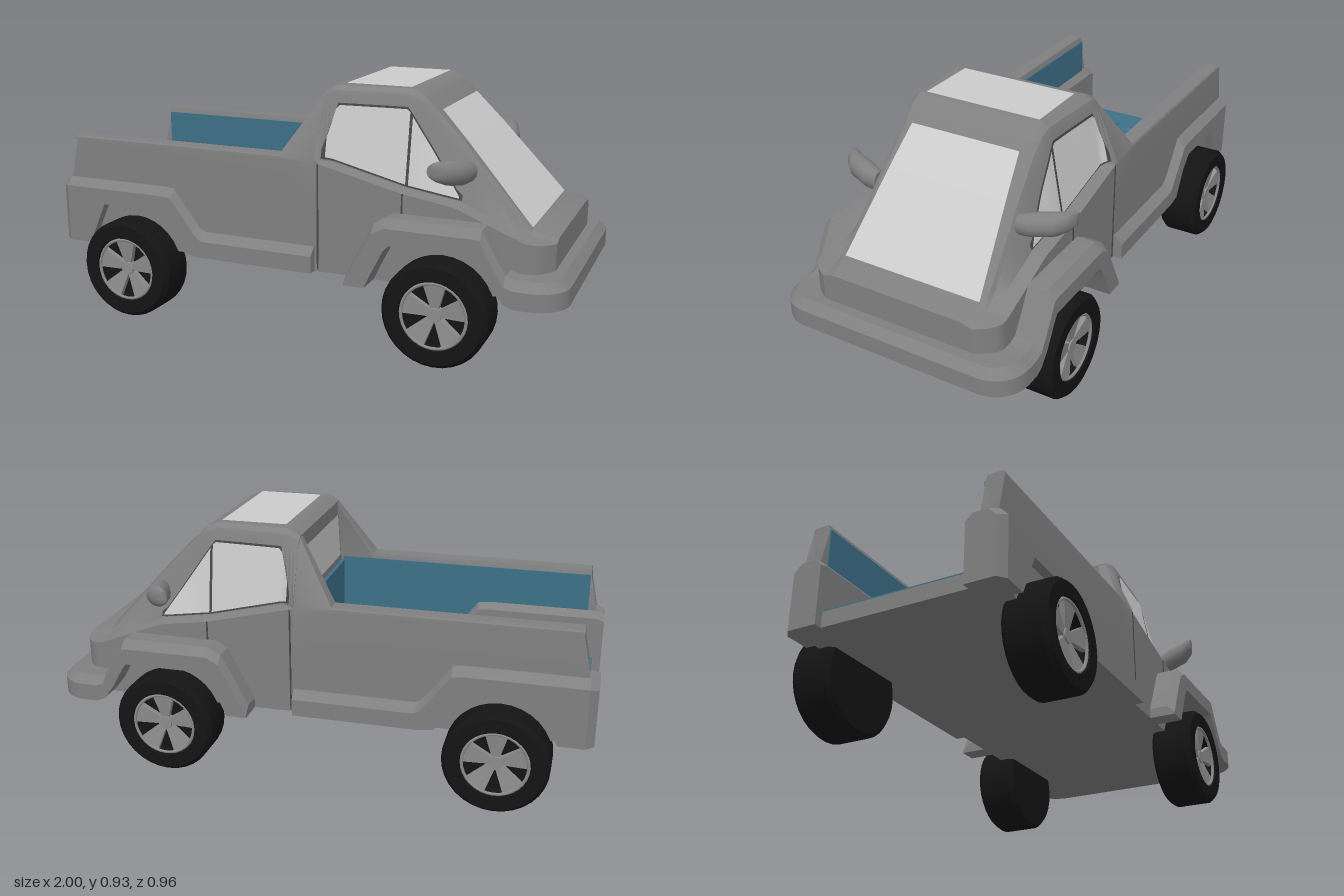
import * as THREE from 'three';
import { toCreasedNormals } from 'three/addons/utils/BufferGeometryUtils.js';

const mat = (color, side = THREE.FrontSide) => new THREE.MeshStandardMaterial({ color, side });
const BODY = mat(0x808080), GLASS = mat(0xcccccc, THREE.DoubleSide), BLUE = mat(0x3d7088);
const TYRE = mat(0x141414), RIM = mat(0x8c8c8c), SEAM = mat(0x484848, THREE.DoubleSide);
const BASE = 0.257, FLOOR = 0.32; // underside and bed floor heights

// piecewise linear curve through [x, y] knots
function pl(x, k) {
  if (x <= k[0][0]) return k[0][1];
  for (let i = 1; i < k.length; i++) {
    if (x <= k[i][0]) return THREE.MathUtils.mapLinear(x, k[i - 1][0], k[i][0], k[i - 1][1], k[i][1]);
  }
  return k[k.length - 1][1];
}

function add(parent, name, geo, material, x = 0, y = 0, z = 0) {
  const m = new THREE.Mesh(geo, material);
  m.name = name;
  m.position.set(x, y, z);
  parent.add(m);
  return m;
}

function box(parent, name, material, x0, x1, y0, y1, z0, z1) {
  return add(parent, name, new THREE.BoxGeometry(x1 - x0, y1 - y0, Math.abs(z1 - z0)), material,
    (x0 + x1) / 2, (y0 + y1) / 2, (z0 + z1) / 2);
}

// solid skin through closed rings of points, capped, always facing outwards
function loft(rings, crease = 0.5) {
  const n = rings[0].length, pos = rings.flat(), idx = [];
  for (let i = 0; i < rings.length - 1; i++) {
    for (let j = 0; j < n; j++) {
      const a = i * n + j, b = i * n + (j + 1) % n;
      idx.push([a, b, a + n], [b, b + n, a + n]);
    }
  }
  [0, rings.length - 1].forEach((r, end) => {
    const c = [0, 1, 2].map((k) => rings[r].reduce((s, p) => s + p[k] / n, 0));
    pos.push(c);
    for (let j = 0; j < n; j++) {
      const a = r * n + j, b = r * n + (j + 1) % n;
      idx.push(end ? [a, b, pos.length - 1] : [b, a, pos.length - 1]);
    }
  });
  const v = pos.map((p) => new THREE.Vector3(...p));
  const volume = idx.reduce((s, [a, b, c]) => s + v[a].dot(v[b].clone().cross(v[c])), 0);
  if (volume < 0) idx.forEach((t) => t.reverse());
  const g = new THREE.BufferGeometry().setFromPoints(v);
  g.setIndex(idx.flat());
  return toCreasedNormals(g, crease);
}

// open sheet from fn(u, v) -> [x, y, z]
function sheet(fn, nu = 20, nv = 8) {
  const g = new THREE.PlaneGeometry(1, 1, nu, nv), p = g.attributes.position;
  for (let i = 0; i < p.count; i++) p.setXYZ(i, ...fn(p.getX(i) + 0.5, p.getY(i) + 0.5));
  g.computeVertexNormals();
  return g;
}

// cab shape along x: top line, belt line, widths at belt, above the belt ledge and at top edge
const top = (x) => pl(x, [[0.08, 0.9], [0.12, 0.925], [0.4, 0.925], [0.445, 0.905], [0.6, 0.745], [0.845, 0.476], [0.935, 0.457]]);
const belt = (x) => pl(x, [[0.08, 0.66], [0.41, 0.58], [0.6, 0.55], [0.84, 0.455], [0.935, 0.445]]);
const ledge = (x) => belt(x) + Math.min(0.012, (top(x) - belt(x)) * 0.25);
const wide = (x) => 0.375 - 0.075 * Math.max(0, (x - 0.86) / 0.075) ** 2;
const inner = (x) => wide(x) - pl(x, [[0.085, 0], [0.13, 0.042], [0.6, 0.05], [0.84, 0.05], [0.935, 0.01]]);
const narrow = (x) => pl(x, [[0.08, 0.3], [0.3, 0.285], [0.5, 0.275], [0.85, 0.3], [0.935, 0.28]]);
const round = (x) => Math.min(0.04, (top(x) - belt(x)) * 0.6);
const sideZ = (x, y) => pl(y, [[belt(x), wide(x)], [ledge(x), inner(x)], [top(x) - round(x), narrow(x)]]);

function cabRing(x) {
  const t = top(x), r = round(x), w = wide(x), e = narrow(x);
  const half = [[w, BASE], [w, belt(x)], [inner(x), ledge(x)], [e, t - r], [e - 0.01, t - 0.4 * r], [e - 0.03, t]];
  return [...half.map(([z, y]) => [x, y, z]), ...half.reverse().map(([z, y]) => [x, y, -z])];
}

function buildCab(g) {
  const rings = [];
  for (let i = 0; i <= 57; i++) rings.push(cabRing(0.08 + 0.855 * i / 57));
  add(g, 'cab', loft(rings, 0.4), BODY);
  add(g, 'windshield', sheet((u, v) => {
    const x = 0.497 + 0.345 * u;
    return [x + 0.004, top(x) + 0.004, (v * 2 - 1) * (0.217 + 0.055 * u)];
  }), GLASS);
  add(g, 'roofWindow', sheet((u, v) => [0.145 + 0.245 * u, 0.928, (v * 2 - 1) * 0.23], 1, 1), GLASS);
  add(g, 'rearWindow', sheet((u, v) => [0.074, 0.67 + 0.18 * v, (u * 2 - 1) * (0.27 - 0.04 * v)], 1, 1), GLASS);

  // side glass in two panes over a dark frame, plus door seams
  const low = (x) => pl(x, [[0.1, 0.68], [0.41, 0.602], [0.6, 0.572]]);
  const high = (x) => pl(x, [[0.1, 0.7], [0.14, 0.86], [0.4, 0.86], [0.6, 0.577]]);
  for (const s of [1, -1]) {
    const pane = (name, a, b, grow, off, m) => add(g, name, sheet((u, v) => {
      const x = a + (b - a) * u, y = THREE.MathUtils.lerp(low(x) - grow, high(x) + grow, v);
      return [x, y, s * (sideZ(x, y) + off)];
    }, 24, 4), m);
    pane('windowFrame', 0.1, 0.61, 0.007, 0.003, SEAM);
    pane('doorWindow', 0.112, 0.407, 0, 0.006, GLASS);
    pane('quarterWindow', 0.417, 0.6, 0, 0.006, GLASS);
    box(g, 'doorRearSeam', SEAM, 0.09, 0.096, 0.265, 0.655, s * 0.37, s * 0.377);
    box(g, 'doorFrontSeam', SEAM, 0.408, 0.414, 0.45, 0.58, s * 0.37, s * 0.377);

    // swept back mirror
    const stations = [[0.285, 0.62, 0.66, 0.03, 0.038], [0.34, 0.605, 0.667, 0.043, 0.045],
      [0.41, 0.585, 0.678, 0.042, 0.043], [0.445, 0.56, 0.687, 0.034, 0.035], [0.46, 0.54, 0.69, 0.015, 0.023]];
    add(g, 'mirror', loft(stations.map(([z, cx, cy, rx, ry]) => Array.from({ length: 14 }, (_, i) => {
      const a = i / 14 * Math.PI * 2;
      return [cx + rx * Math.cos(a), cy + ry * Math.sin(a), s * z];
    })), 0.9), BODY);
  }
}

function buildBed(g) {
  box(g, 'bedBase', BODY, -0.97, 0.1, BASE, FLOOR - 0.006, -0.374, 0.374);
  box(g, 'bedFloor', BLUE, -0.968, 0.075, FLOOR - 0.01, FLOOR, -0.305, 0.305);
  box(g, 'bedFrontPanel', BLUE, 0.065, 0.079, FLOOR - 0.01, 0.64, -0.305, 0.305);
  // rows of small ramps at both ends of the floor
  const ramp = new THREE.Shape([[-0.04, 0], [0.03, 0], [0, 0.008]].map((p) => new THREE.Vector2(...p)));
  const rampGeo = new THREE.ExtrudeGeometry(ramp, { depth: 0.036, bevelEnabled: false });
  for (let i = -3; i <= 3; i++) {
    for (const x of [-0.83, 0.03]) add(g, 'floorRamp', rampGeo, BLUE, x, FLOOR - 0.0005, i * 0.077 - 0.018);
  }

  for (const s of [1, -1]) {
    // side wall rising into the pillar behind the cab
    const ring = (x0, x1, ys, zs, yt, zo, zi) => [[x0, BASE, 0.375], [x0, 0.505, 0.375], [x1, 0.655, 0.375], [x1, ys, zs],
      [x1, yt, zo], [x1, yt, zi], [x1, 0.655, 0.306], [x0, 0.505, 0.306], [x0, BASE, 0.306]].map(([x, y, z]) => [x, y, s * z]);
    add(g, 'bedWall', loft([
      ring(-0.968, -0.936, 0.67, 0.374, 0.676, 0.37, 0.312), ring(-0.06, -0.06, 0.67, 0.374, 0.676, 0.37, 0.312),
      ring(0.085, 0.085, 0.862, 0.3, 0.903, 0.27, 0.24)]), BODY);
    box(g, 'bedLiner', BLUE, -0.934, 0.07, FLOOR - 0.01, 0.655, s * 0.301, s * 0.308);
  }
}

// chamfered trim along a plan path; each station is {x, z, nx, nz, depth, h, b}, n pointing inwards
function trim(stations, innerChamfer, innerBottom) {
  const c = 0.03;
  return loft(stations.map(({ x, z, nx, nz, depth, h, b }) => [[0, b], [0, h - c], [c, h],
    [depth - innerChamfer, h], [depth, h - innerChamfer], [depth, Math.min(b, innerBottom)], [depth - 0.03, b]]
    .map(([d, y]) => [x + nx * d, y, z + nz * d])), 0.4);
}

function buildTrim(g) {
  // rear arches and sills, also forming the inner wheel housings
  const rear = [[-1, 0.5, BASE, 0.385], [-0.97, 0.51, BASE], [-0.875, 0.51, BASE], [-0.8, 0.51, 0.42], [-0.55, 0.51, 0.42],
    [-0.5, 0.505, 0.37], [-0.445, 0.43, 0.265], [-0.39, 0.36, BASE, 0.41, 0.31], [-0.37, 0.35, BASE, 0.41, 0.31],
    [0.08, 0.35, BASE, 0.41, 0.31]];
  for (const s of [1, -1]) {
    const path = rear.map(([x, h, b, z = 0.41, zi = 0.275]) => ({ x, z: s * z, nx: 0, nz: -s, depth: z - zi, h, b }));
    add(g, 'rearFenderTrim', trim(path, 0.025, 0.3), BODY);
  }
  // front arches joined by the bumper round the nose
  const front = [[0.235, 0.295, BASE], [0.31, 0.44, BASE], [0.335, 0.485, 0.31], [0.38, 0.51, 0.4], [0.4, 0.51, 0.42],
    [0.7, 0.51, 0.42], [0.715, 0.505, 0.4], [0.76, 0.425, 0.32], [0.8, 0.36, 0.27], [0.83, 0.35, BASE]];
  const left = front.map(([x, h, b]) => ({ x, z: 0.475, nx: 0, nz: -1, depth: 0.11, h, b }));
  for (let i = 0; i <= 8; i++) {
    const a = i / 8 * Math.PI / 2, nx = -Math.sin(a), nz = -Math.cos(a);
    left.push({ x: 0.88 - 0.12 * nx, z: 0.355 - 0.12 * nz, nx, nz, depth: 0.11, h: 0.35, b: BASE });
  }
  const right = left.map((p) => ({ ...p, z: -p.z, nz: -p.nz })).reverse();
  add(g, 'frontFenderAndBumper', trim([...left, ...right], 0, 1), BODY);
}

function buildWheel() {
  const w = new THREE.Group();
  w.name = 'wheel';
  const profile = [[0, -0.08], [0.175, -0.08], [0.19, -0.062], [0.19, 0.062], [0.175, 0.08], [0.125, 0.08], [0.117, 0.035], [0, 0.035]];
  const tyre = new THREE.LatheGeometry(profile.map((p) => new THREE.Vector2(...p)), 32).rotateX(Math.PI / 2);
  tyre.deleteAttribute('normal');
  add(w, 'tyre', toCreasedNormals(tyre, 0.4), TYRE);
  add(w, 'rim', new THREE.TorusGeometry(0.117, 0.006, 6, 32), RIM, 0, 0, 0.07);
  add(w, 'hub', new THREE.CylinderGeometry(0.025, 0.03, 0.025, 20).rotateX(Math.PI / 2), RIM, 0, 0, 0.05);
  // five spokes widening and rising towards the rim
  for (let i = 0; i < 5; i++) {
    const ring = (r, half, z) => [[-half, r, z], [half, r, z], [half, r, z - 0.02], [-half, r, z - 0.02]];
    const spoke = add(w, 'spoke', loft([ring(0.015, 0.012, 0.056), ring(0.118, 0.042, 0.07)]), RIM);
    spoke.rotation.z = i * Math.PI * 2 / 5;
  }
  return w;
}

export function createModel() {
  const g = new THREE.Group();
  g.name = 'pickupTruck';
  buildCab(g);
  buildBed(g);
  buildTrim(g);
  for (const x of [-0.673, 0.563]) {
    for (const s of [1, -1]) {
      const w = buildWheel();
      w.position.set(x, 0.19, s * 0.4);
      if (s < 0) w.rotation.y = Math.PI;
      g.add(w);
    }
  }
  return g;
}
